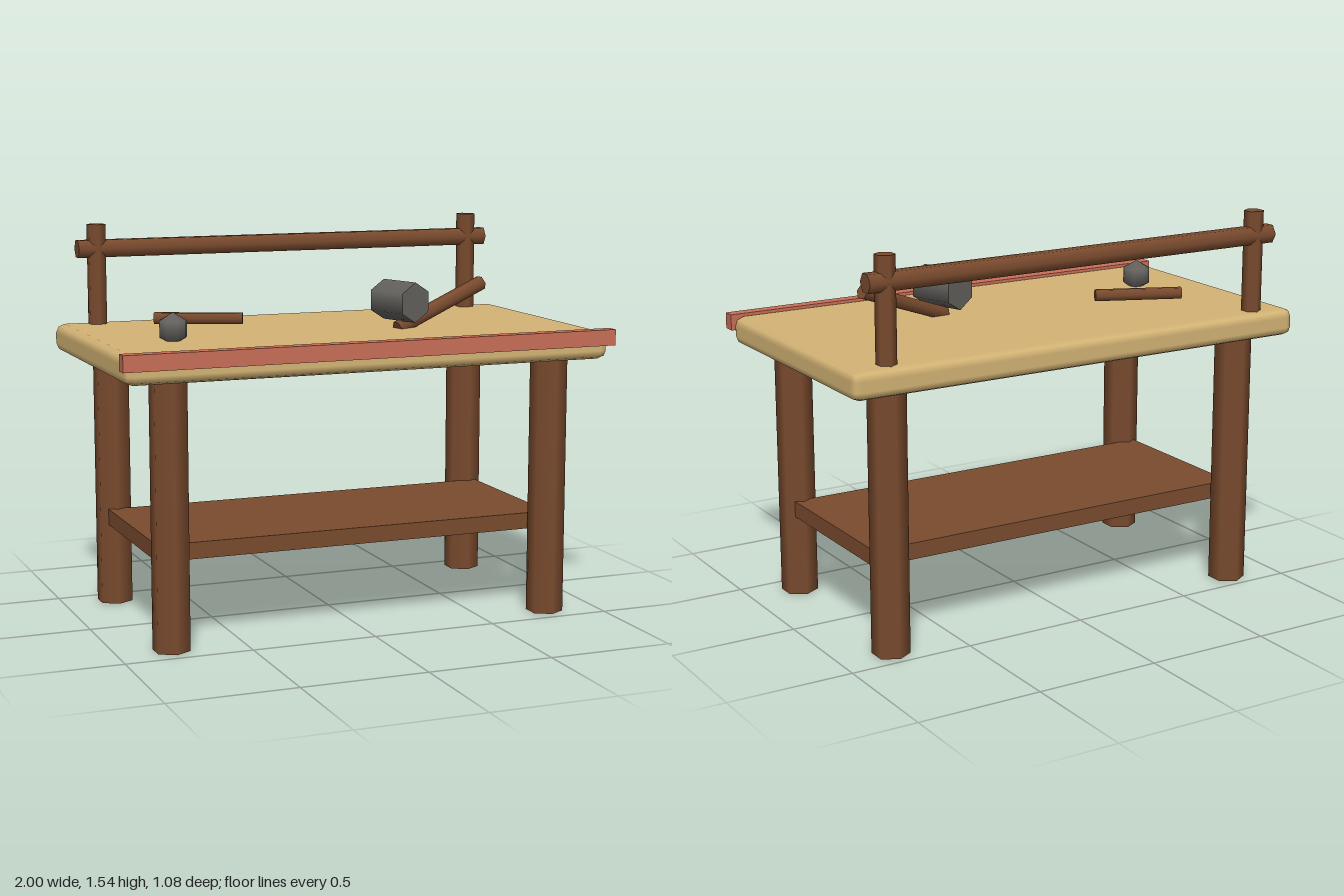
import * as THREE from 'three';
import { RoundedBoxGeometry } from 'three/addons/geometries/RoundedBoxGeometry.js';

const material = (name, color) => {
  const m = new THREE.MeshStandardMaterial({ color });
  m.name = name;
  return m;
};

export function createModel() {
  const group = new THREE.Group();
  const wood = material('dark wood', 0x7a4b2e);
  const pale = material('pale tabletop', 0xd4b475);
  const red = material('red trim', 0xc96f58);
  const stone = material('grey stone', 0x66635f);

  const add = (name, geometry, mat, x, y, z) => {
    const mesh = new THREE.Mesh(geometry, mat);
    mesh.name = name;
    mesh.position.set(x, y, z);
    group.add(mesh);
    return mesh;
  };

  // Six-sided rod running between two points
  const rod = (name, from, to, radius, mat) => {
    const a = new THREE.Vector3(...from);
    const b = new THREE.Vector3(...to);
    const d = b.clone().sub(a);
    const mid = a.clone().add(b).multiplyScalar(0.5);
    const mesh = add(name, new THREE.CylinderGeometry(radius, radius, d.length(), 6), mat, mid.x, mid.y, mid.z);
    const run = Math.hypot(d.x, d.z);
    mesh.rotation.order = 'YZX';
    mesh.rotation.z = -Math.atan2(run, d.y);
    if (run > 1e-6) mesh.rotation.y = -Math.atan2(d.z, d.x);
    return mesh;
  };

  // Table: chamfered top, front trim and lower shelf
  add('tabletop', new RoundedBoxGeometry(1.97, 0.11, 1.055, 1, 0.035), pale, 0, 1.086, -0.01);
  add('frontTrim', new THREE.BoxGeometry(2, 0.063, 0.05), red, 0, 1.12, 0.515);
  add('shelf', new THREE.BoxGeometry(1.645, 0.065, 0.682), wood, 0, 0.363, -0.006);

  // Legs and rear posts, mirrored left and right
  for (const [side, s] of [['left', 1], ['right', -1]]) {
    rod(side + 'FrontLeg', [s * 0.787, 0, 0.387], [s * 0.787, 1.06, 0.387], 0.0735, wood);
    rod(side + 'BackLeg', [s * 0.787, 0, -0.402], [s * 0.787, 1.06, -0.402], 0.0735, wood);
    rod(side + 'Post', [s * 0.82, 1.1, -0.468], [s * 0.82, 1.543, -0.468], 0.039, wood);
  }
  rod('backRail', [-0.9, 1.445, -0.47], [0.9, 1.445, -0.47], 0.04, wood);

  // Mallet resting on its handle
  rod('malletHandle', [0.25, 1.14, 0.118], [0.667, 1.297, 0.01], 0.03, wood);
  const head = add('malletHead', new THREE.CylinderGeometry(0.08, 0.08, 0.187, 6).rotateX(Math.PI / 2),
    stone, 0.26, 1.25, 0.113);
  head.rotation.y = 0.33;

  // Loose stick and pebble
  rod('stick', [-0.655, 1.184, -0.222], [-0.332, 1.184, -0.082], 0.025, wood);
  add('pebble', new THREE.SphereGeometry(0.063, 8, 3), stone, -0.69, 1.187, 0.145);

  return group;
}
